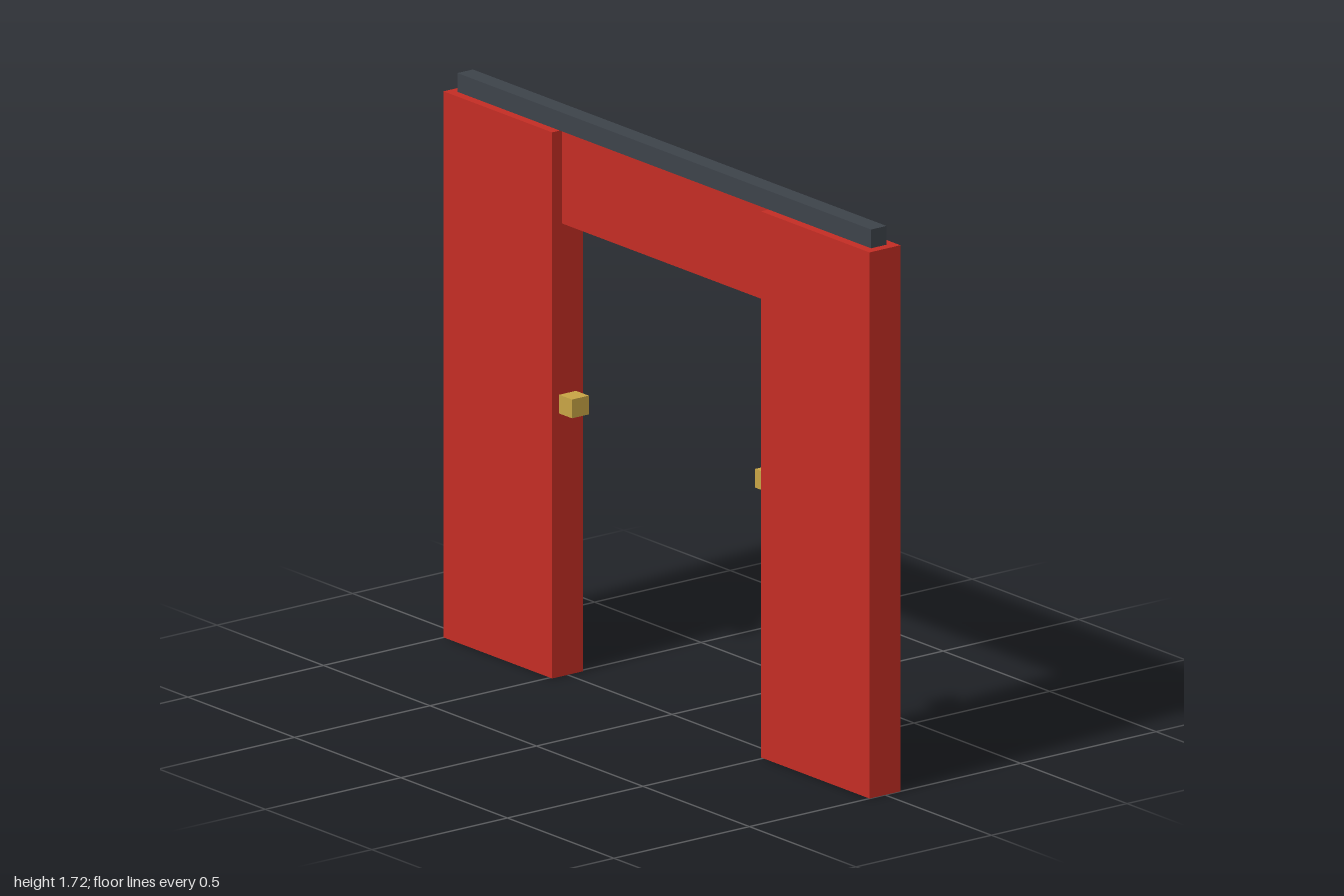
import * as THREE from 'three';

const material = (name, color) => {
  const m = new THREE.MeshStandardMaterial({ color });
  m.name = name;
  return m;
};

export function createModel() {
  const red = material('red paint', 0xc42d24);
  const grey = material('dark grey metal', 0x3d434a);
  const brass = material('brass', 0xc8a545);

  const model = new THREE.Group();
  model.name = 'slidingDoorway';

  // Box given by its x and y ranges and its depth, centred on z = 0
  const box = (name, mat, x0, x1, y0, y1, depth) => {
    const mesh = new THREE.Mesh(new THREE.BoxGeometry(x1 - x0, y1 - y0, depth), mat);
    mesh.name = name;
    mesh.position.set((x0 + x1) / 2, (y0 + y1) / 2, 0);
    model.add(mesh);
  };

  // Door panels with a handle on each inner edge
  box('leftPanel', red, 0.49, 1, 0, 1.659, 0.114);
  box('rightPanel', red, -1, -0.49, 0, 1.659, 0.114);
  box('leftHandle', brass, 0.43, 0.49, 0.8, 0.857, 0.062);
  box('rightHandle', brass, -0.49, -0.43, 0.8, 0.857, 0.062);

  // Thin header between the panels and the rail along the top
  box('header', red, -0.49, 0.49, 1.375, 1.659, 0.04);
  box('topRail', grey, -0.971, 0.971, 1.659, 1.716, 0.057);

  return model;
}
